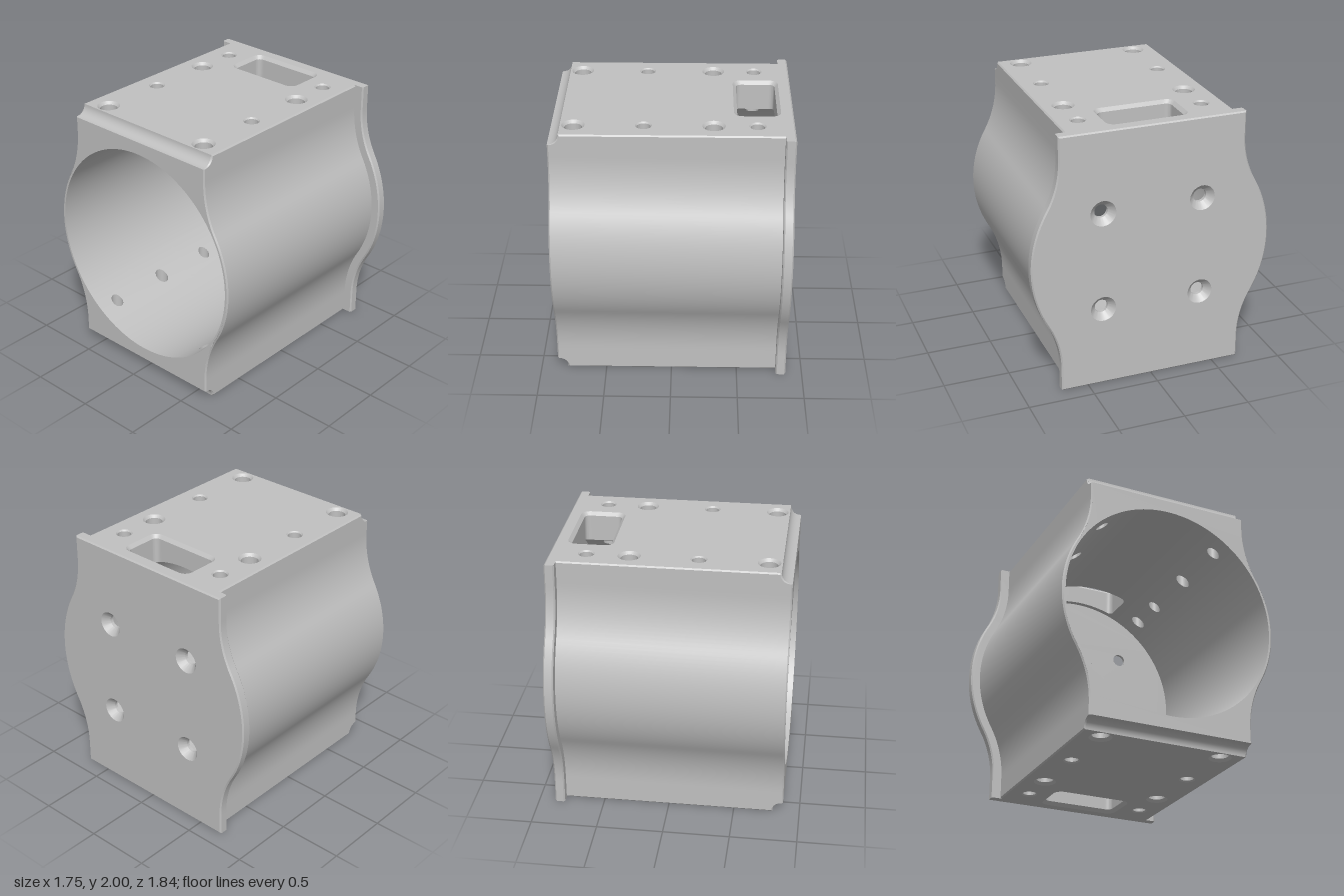
import * as THREE from 'three';
import { toCreasedNormals } from 'three/addons/utils/BufferGeometryUtils.js';

const X0 = -0.875, XP = 0.8, X1 = 0.875;   // open end, plate back, plate front
const BORE = 0.825, NOTCH = 0.08, TOP_Z = 0.625, C = 0.01;
const SKIN = -0.07;                        // body is this far inside the plate outline

// Surface through a list of equally long rings of [x, y, z] points
function loft(rings) {
  const n = rings[0].length, index = [];
  for (let i = 0; i < rings.length - 1; i++) {
    for (let j = 0; j < n - 1; j++) {
      const a = i * n + j, d = a + n;
      index.push(a, a + 1, d + 1, a, d + 1, d);
    }
  }
  const g = new THREE.BufferGeometry();
  g.setAttribute('position', new THREE.Float32BufferAttribute(rings.flat(2), 3));
  g.setIndex(index);
  return toCreasedNormals(g, 0.45);
}

const steps = (n, f) => Array.from({ length: n + 1 }, (_, i) => f(i / n));

// Half depth at height y: round belly, concave blend, straight flank
function sideZ(y, off) {
  const h = Math.abs(y - 1), cz = 1.435, cy = 0.8144, R = 0.92 + off, rf = 0.73 - off;
  if (h < R * cy / 1.65) return Math.sqrt(R * R - h * h);
  if (h < cy) return cz - Math.sqrt(rf * rf - (cy - h) ** 2);
  return cz - rf;
}

// Closed outline as [z, y] points
function outline(off, half) {
  const right = steps(72, t => 1 - half + 2 * half * t).map(y => [sideZ(y, off), y]);
  return [...right, ...right.map(([z, y]) => [-z, y]).reverse()];
}

// Flat face across the x axis with round holes [z, y, r]
function face(points, holes, x, dir) {
  const shape = new THREE.Shape(points.map(([z, y]) => new THREE.Vector2(z, y)));
  for (const [z, y, r] of holes) shape.holes.push(new THREE.Path().absarc(z, y, r, 0, Math.PI * 2, true));
  const g = new THREE.ShapeGeometry(shape, 48);
  g.rotateY(dir * Math.PI / 2);
  g.translate(x, 0, 0);
  return g;
}

// One cell of the wall between bore and flat top, pierced by one rounded opening.
// steps list: [y or null for the bore surface, growth of the opening]
function pierced(cell, hole, profile, n) {
  const square = [];
  const corners = [[-1, -1], [1, -1], [1, 1], [-1, 1], [-1, -1]];
  for (let s = 0; s < 4; s++) {
    for (let k = 0; k < n; k++) {
      const t = k / n;
      square.push([0, 1].map(a => corners[s][a] * (1 - t) + corners[s + 1][a] * t));
    }
  }
  square.push([-1, -1]);
  const rect = x0 => square.map(([u, v]) => [
    x0 + (cell.x1 - x0) * (u + 1) / 2, cell.z0 + (cell.z1 - cell.z0) * (v + 1) / 2]);
  const opening = grow => square.map(p => {
    const h = [hole.hx + grow, hole.hz + grow], r = hole.r + grow;
    const c = p.map((v, a) => THREE.MathUtils.clamp(v * h[a], r - h[a], h[a] - r));
    const d = p.map((v, a) => v * h[a] - c[a]), len = Math.hypot(...d) || 1;
    return [hole.x + c[0] + r * d[0] / len, hole.z + c[1] + r * d[1] / len];
  });
  const onBore = ([x, z]) => [x, 1 + Math.sqrt(BORE * BORE - z * z), z];
  const outer = rect(cell.x0), inner = opening(0), K = 6;
  const rings = steps(K, t => outer.map((p, j) =>
    onBore([p[0] + (inner[j][0] - p[0]) * t, p[1] + (inner[j][1] - p[1]) * t])));
  for (const [y, grow] of profile) rings.push(opening(grow).map(([x, z]) => [x, y, z]));
  rings.push(rect(Math.max(cell.x0, X0 + NOTCH)).map(([x, z]) => [x, 2, z]));
  return loft(rings);
}

export function createModel() {
  const model = new THREE.Group();
  model.name = 'motorHousing';
  const metal = new THREE.MeshStandardMaterial({ color: 0xc0c0c0, side: THREE.DoubleSide });
  metal.name = 'grey metal';
  const add = (parent, name, geometry) => {
    const mesh = new THREE.Mesh(geometry, metal);
    mesh.name = name;
    parent.add(mesh);
  };

  // Flat wall with counterbored and plain holes in two rows
  const big = [[1.83, 0], [1.83, 0.018], [1.98, 0.018], [2, 0.038]];
  const small = [[1.99, 0], [2, 0.01]];
  const wall = [];
  const cuts = [X0, -0.45, 0.05, 0.47, XP];
  [[-0.7, big, 0.045], [-0.2, small, 0.05], [0.3, big, 0.045], [0.61, small, 0.05]].forEach(([x, profile, r], i) => {
    for (const s of [-1, 1]) {
      const cell = { x0: cuts[i], x1: cuts[i + 1], z0: s < 0 ? -TOP_Z : 0.345, z1: s < 0 ? -0.345 : TOP_Z };
      wall.push(['holeWall', pierced(cell, { x, z: s * 0.47, hx: r, hz: r, r }, profile, 16)]);
    }
  });

  // Middle of the wall with the rectangular window
  wall.push(['windowWall', pierced({ x0: X0, x1: XP, z0: -0.345, z1: 0.345 },
    { x: 0.615, z: 0, hx: 0.145, hz: 0.285, r: 0.04 }, [[1.975, 0], [2, 0.025]], 40)]);

  // Concave notch along the open end
  wall.push(['endNotch', loft(steps(10, t => {
    const a = t * Math.PI / 2, x = X0 + NOTCH * Math.sin(a), y = 2 - NOTCH * Math.cos(a);
    return [[x, y, -TOP_Z], [x, y, TOP_Z]];
  }))]);

  // Curved outer flank, trimmed by the notches, with small edge chamfers
  const low = [0, C, 0.03, 0.05, 0.065, 0.075];
  const ys = [...low, ...steps(64, t => NOTCH + (2 - 2 * NOTCH) * t), ...low.map(y => 2 - y).reverse()];
  const startX = y => X0 + Math.sqrt(Math.max(0, NOTCH ** 2 - Math.min(y, 2 - y) ** 2 ));
  const trimX = y => (Math.min(y, 2 - y) < NOTCH ? startX(y) : X0);
  const flankZ = y => sideZ(y, SKIN) - (y === 0 || y === 2 ? C : 0);
  wall.push(['flank', loft([
    ys.map(y => [XP, y, flankZ(y)]),
    ys.map(y => [trimX(y) + C, y, flankZ(y)]),
    ys.map(y => [trimX(y), y, sideZ(y, SKIN) - C]),
  ])]);

  // Side of the round bore
  const a0 = Math.acos(TOP_Z / BORE);
  wall.push(['boreSide', loft([X0, XP].map(x => steps(40, t => {
    const a = a0 * (2 * t - 1);
    return [x, 1 + BORE * Math.sin(a), BORE * Math.cos(a)];
  })))]);

  // The housing is two equal halves, turned about the x axis
  for (const turned of [false, true]) {
    const half = new THREE.Group();
    half.name = turned ? 'lowerBackHalf' : 'upperFrontHalf';
    for (const [name, geometry] of wall) add(half, name, geometry);
    if (turned) {
      half.rotation.x = Math.PI;
      half.position.y = 2;
    }
    model.add(half);
  }

  // Rim face around the open end
  add(model, 'openEndFace', face(outline(SKIN - C, 1 - NOTCH), [[0, 1, BORE]], X0, -1));

  // End plate with chamfered rim and four countersunk holes
  const plate = new THREE.Group();
  plate.name = 'endPlate';
  model.add(plate);
  const spots = [];
  for (const z of [-0.38, 0.38]) for (const y of [0.62, 1.38]) spots.push([z, y]);
  const holes = r => spots.map(([z, y]) => [z, y, r]);
  add(plate, 'plateFront', face(outline(-C, 1 - C), holes(0.097), X1, 1));
  add(plate, 'plateBack', face(outline(-C, 1), holes(0.05), XP, -1));
  add(plate, 'plateRim', loft([[X1, -C, 1 - C], [X1 - C, 0, 1], [XP + C, 0, 1], [XP, -C, 1]].map(([x, off, half]) => {
    const loop = outline(off, half);
    return [...loop, loop[0]].map(([z, y]) => [x, y, z]);
  })));
  for (const [z, y] of spots) {
    add(plate, 'countersink', loft([[XP, 0.05], [0.825, 0.05], [X1, 0.097]].map(([x, r]) =>
      steps(48, t => [x, y + r * Math.sin(t * Math.PI * 2), z + r * Math.cos(t * Math.PI * 2)]))));
  }
  return model;
}
